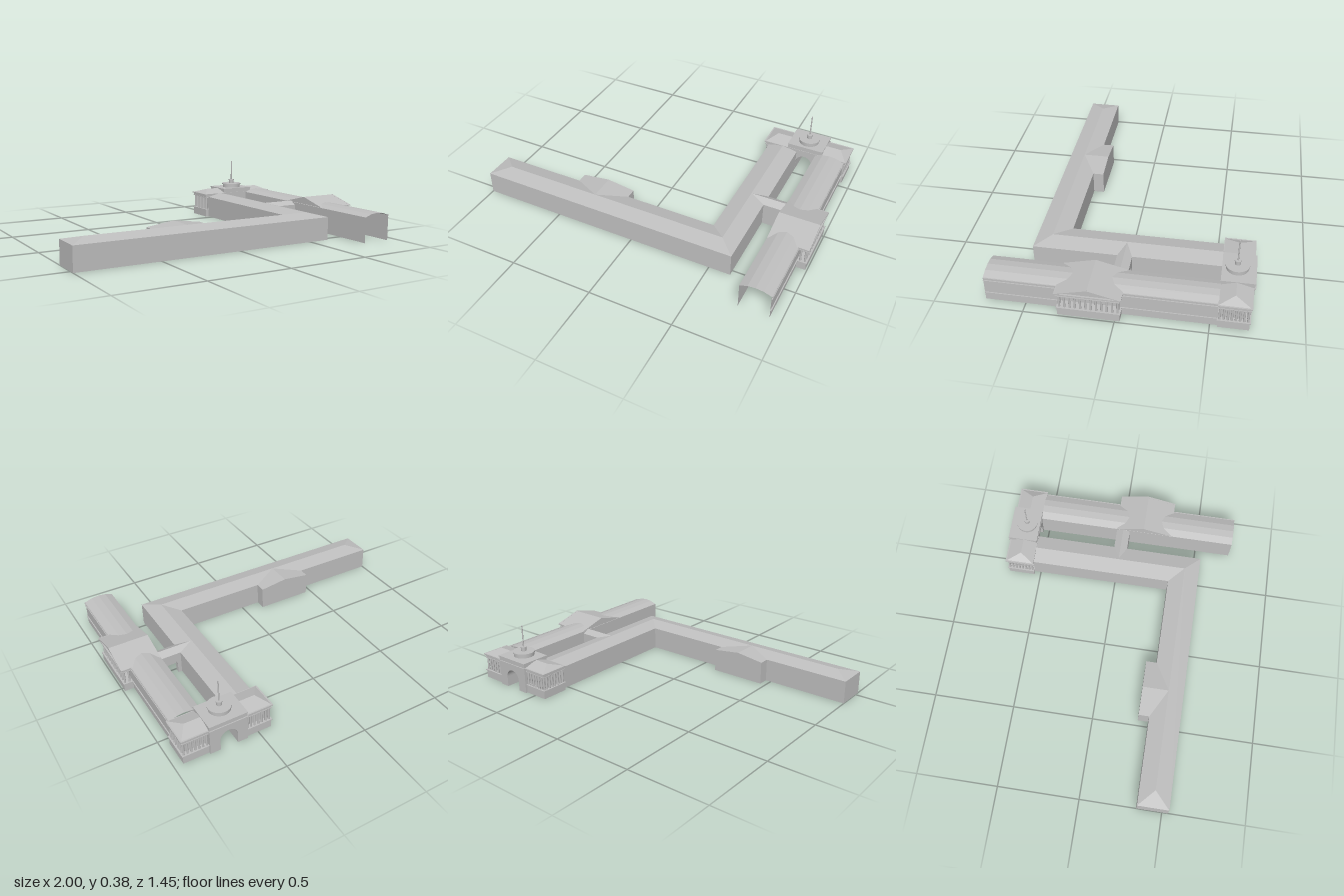
import * as THREE from 'three';

const stone = new THREE.MeshStandardMaterial({ color: 0xbebebe, side: THREE.DoubleSide });
stone.name = 'paleStone';

function add(parent, name, geometry) {
  const mesh = new THREE.Mesh(geometry, stone);
  mesh.name = name;
  parent.add(mesh);
  return mesh;
}

// Box given by its limits on each axis
function box(parent, name, xa, xb, ya, yb, za, zb) {
  const g = new THREE.BoxGeometry(Math.abs(xb - xa), Math.abs(yb - ya), Math.abs(zb - za));
  return add(parent, name, g.translate((xa + xb) / 2, (ya + yb) / 2, (za + zb) / 2));
}

// Flat faces, each a convex loop of [x, y, z] corners
function faces(parent, name, loops) {
  const v = [];
  for (const p of loops)
    for (let i = 1; i < p.length - 1; i++) v.push(...p[0], ...p[i], ...p[i + 1]);
  const g = new THREE.BufferGeometry();
  g.setAttribute('position', new THREE.Float32BufferAttribute(v, 3));
  g.computeVertexNormals();
  return add(parent, name, g);
}

// Upright walls along a plan line of [x, z] points
function walls(parent, name, plan, y0, y1, closed = true) {
  const loops = [];
  const n = closed ? plan.length : plan.length - 1;
  for (let i = 0; i < n; i++) {
    const [ax, az] = plan[i], [bx, bz] = plan[(i + 1) % plan.length];
    loops.push([[ax, y0, az], [bx, y0, bz], [bx, y1, bz], [ax, y1, az]]);
  }
  return faces(parent, name, loops);
}

const rect = (x0, x1, z0, z1) => [[x0, z0], [x0, z1], [x1, z1], [x1, z0]];

// Slab in the XY plane with a round-headed opening
function archedWall(w, h, r, spring, depth) {
  const s = new THREE.Shape();
  s.moveTo(-w / 2, 0).lineTo(-r, 0).lineTo(-r, spring);
  s.absarc(0, spring, r, Math.PI, 0, true);
  s.lineTo(r, 0).lineTo(w / 2, 0).lineTo(w / 2, h).lineTo(-w / 2, h);
  return new THREE.ExtrudeGeometry(s, { depth, bevelEnabled: false, curveSegments: 10 });
}

function column(parent, x, z) {
  add(parent, 'column', new THREE.CylinderGeometry(0.0055, 0.0065, 0.087, 8).translate(x, 0.0935, z));
}

// L-shaped wing with a mitred hip roof and a rear gabled bay
function westWing() {
  const g = new THREE.Group();
  g.name = 'westWing';
  const e = 0.14, r = 0.163, xr = 0.535, zr = 0.44;
  walls(g, 'westWalls', [[-1, 0.345], [0.44, 0.345], [0.44, -0.54], [0.63, -0.54], [0.63, 0.535], [-1, 0.535]], 0, e);
  const end = [-0.9, r, zr], corner = [xr, r, zr], top = [xr, r, -0.54];
  faces(g, 'westRoof', [
    [[-1, e, 0.535], [0.63, e, 0.535], corner, end],
    [[0.44, e, 0.345], [-1, e, 0.345], end, corner],
    [[-1, e, 0.345], [-1, e, 0.535], end],
    [[0.63, e, 0.535], [0.63, e, -0.54], top, corner],
    [[0.44, e, -0.54], [0.44, e, 0.345], corner, top],
  ]);
  const x0 = -0.465, x1 = -0.12, xm = -0.2925, z = 0.28;
  walls(g, 'bayWalls', [[x0, 0.345], [x0, z], [x1, z], [x1, 0.345]], 0, e, false);
  faces(g, 'bayRoof', [
    [[x1, e, z], [x0, e, z], [xm, r, z]],
    [[x0, e, z], [x0, e, 0.345], [xm, r, zr], [xm, r, z]],
    [[x1, e, 0.345], [x1, e, z], [xm, r, z], [xm, r, zr]],
  ]);
  return g;
}

// Straight wing, open at its front end, with a columned portico
function eastWing() {
  const g = new THREE.Group();
  g.name = 'eastWing';
  const e = 0.155, x0 = 0.755, x1 = 0.935, z0 = -0.54, z1 = 0.725;
  walls(g, 'innerWall', [[x0, z0], [x0, z1]], 0, e, false);
  walls(g, 'outerWall', [[x1, z0], [x1, z1]], 0, e, false);
  const prof = [[x0, e], [0.8, 0.171], [0.845, 0.176], [0.89, 0.171], [x1, e]];
  const loops = [];
  for (let i = 0; i < 4; i++) {
    const [a, b] = [prof[i], prof[i + 1]];
    loops.push([[...a, z0], [...a, z1], [...b, z1], [...b, z0]]);
  }
  faces(g, 'eastRoof', loops);
  for (const [y, h] of [[0.048, 0.005], [0.135, 0.004], [0.152, 0.005]])
    box(g, 'stringCourse', x1, x1 + 0.006, y, y + h, z0, z1);

  // Portico
  const pz0 = -0.028, pz1 = 0.312, px = 0.99, zm = 0.142;
  walls(g, 'porticoBase', [[x1, pz0], [px, pz0], [px, pz1], [x1, pz1]], 0, 0.05, false);
  box(g, 'porticoFloor', x1, px + 0.004, 0.047, 0.053, pz0 - 0.004, pz1 + 0.004);
  box(g, 'entablature', x1, px, 0.137, e, pz0, pz1);
  box(g, 'cornice', x1, 1, 0.152, 0.158, pz0 - 0.01, pz1 + 0.01);
  box(g, 'architraveLine', x1, px + 0.004, 0.135, 0.139, pz0 - 0.003, pz1 + 0.003);
  for (let i = 0; i < 12; i++) column(g, px - 0.011, pz0 + 0.012 + i * (pz1 - pz0 - 0.024) / 11);
  for (const z of [pz0 + 0.01, pz1 - 0.01]) column(g, 0.952, z);
  const a = pz0 - 0.01, b = pz1 + 0.01, y = 0.157, t = 0.204;
  faces(g, 'porticoRoof', [
    [[x0, y, b], [1, y, b], [1, t, zm], [x0, t, zm]],
    [[1, y, a], [x0, y, a], [x0, t, zm], [1, t, zm]],
    [[x0, y, a], [x0, y, b], [x0, t, zm]],
    [[px, y, b], [px, y, a], [px, t - 0.002, zm]],
  ]);
  // Raking edges of the pediment
  for (const s of [-1, 1]) {
    const run = (b - a) / 2, rise = t - y;
    const m = add(g, 'rakingCornice', new THREE.BoxGeometry(0.01, 0.005, Math.hypot(run, rise)));
    m.position.set(0.995, (y + t) / 2 - 0.002, zm + s * run / 2);
    m.rotation.x = s * Math.atan2(rise, run);
  }
  return g;
}

// Short roofed link between the two wings
function link() {
  const g = new THREE.Group();
  g.name = 'link';
  const z0 = -0.035, z1 = 0.05, zm = 0.0075, e = 0.14, r = 0.163;
  walls(g, 'linkFrontWall', [[0.63, z1], [0.755, z1]], 0, e, false);
  add(g, 'linkArch', archedWall(0.125, e, 0.04, 0.06, 0.03)).position.set(0.6925, 0, z0);
  faces(g, 'linkRoof', [
    [[0.63, e, z1], [0.755, e, z1], [0.755, r, zm], [0.54, r, zm]],
    [[0.755, e, z0], [0.63, e, z0], [0.54, r, zm], [0.755, r, zm]],
  ]);
  return g;
}

// One end pavilion of the gatehouse; s picks the side
function pavilion(s) {
  const g = new THREE.Group();
  g.name = s > 0 ? 'leftPavilion' : 'rightPavilion';
  const xi = s * 0.112, xo = s * 0.265, zb = -0.088, zf = 0.08;
  walls(g, 'pavilionBase', rect(xi, xo, zb, zf), 0, 0.05);
  box(g, 'pavilionLedge', xi, xo + s * 0.005, 0.047, 0.053, zb - 0.005, zf + 0.004);
  walls(g, 'pavilionWalls', rect(xi, xo - s * 0.026, zb + 0.026, zf - 0.012), 0.05, 0.14);
  box(g, 'pavilionEntablature', xi, xo, 0.137, 0.156, zb, zf);
  box(g, 'architraveLine', xi, xo + s * 0.003, 0.135, 0.139, zb - 0.003, zf + 0.003);
  box(g, 'pavilionCornice', xi, xo + s * 0.008, 0.154, 0.161, zb - 0.008, zf + 0.004);
  for (let i = 0; i < 7; i++) column(g, xo - s * (0.009 + i * 0.0225), zb + 0.009);
  for (let i = 1; i < 8; i++) column(g, xo - s * 0.009, zb + 0.009 + i * 0.0214);
  const y = 0.161, t = 0.187, zm = -0.004, xr = xo - s * 0.055;
  faces(g, 'pavilionRoof', [
    [[xi, y, zf], [xo, y, zf], [xr, t, zm], [xi, t, zm]],
    [[xi, y, zb], [xo, y, zb], [xr, t, zm], [xi, t, zm]],
    [[xo, y, zf], [xo, y, zb], [xr, t, zm]],
  ]);
  return g;
}

// Gatehouse with arch, drum and spire
function gatehouse() {
  const g = new THREE.Group();
  g.name = 'gatehouse';
  g.position.set(0.6825, 0, -0.62);
  g.add(pavilion(-1), pavilion(1));
  add(g, 'archBlock', archedWall(0.225, 0.183, 0.052, 0.065, 0.18)).position.z = -0.1;
  box(g, 'blockCornice', -0.117, 0.117, 0.154, 0.161, -0.106, 0.083);
  box(g, 'blockCap', -0.115, 0.115, 0.183, 0.19, -0.104, 0.082);
  const tier = (name, r, y0, y1, n) =>
    add(g, name, new THREE.CylinderGeometry(r, r, y1 - y0, n).translate(0, (y0 + y1) / 2, 0));
  tier('drum', 0.062, 0.19, 0.213, 32);
  tier('drumRim', 0.067, 0.21, 0.218, 32);
  tier('lantern', 0.016, 0.218, 0.24, 16);
  tier('lanternRim', 0.019, 0.24, 0.246, 16);
  tier('spire', 0.004, 0.246, 0.38, 8);
  return g;
}

export function createModel() {
  const model = new THREE.Group();
  model.name = 'courtyardBuilding';
  model.add(westWing(), eastWing(), link(), gatehouse());
  return model;
}
